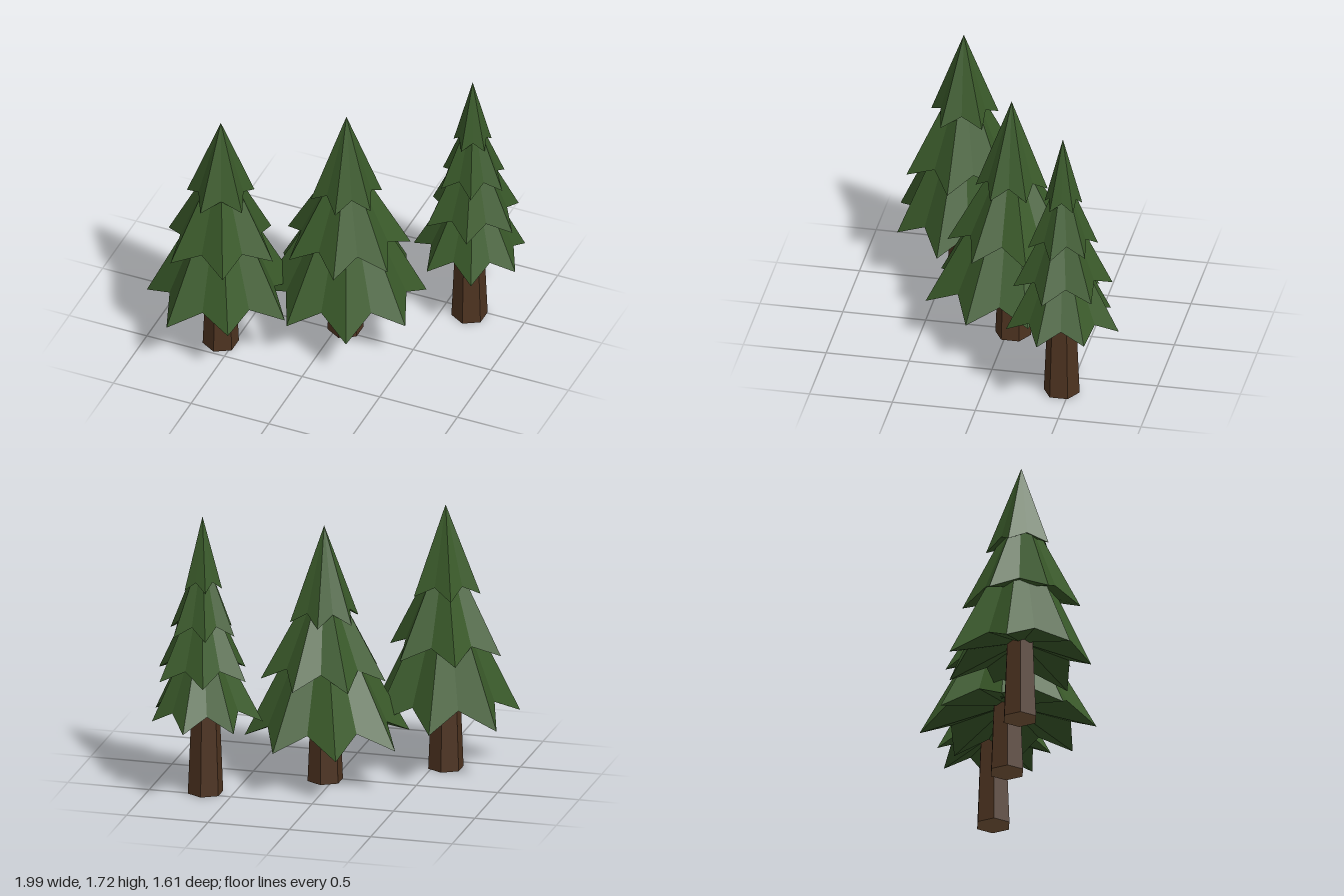
import * as THREE from 'three';

// One foliage tier: a star-shaped cone with drooping tips, raised valleys and a hollow underside
function tierGeometry({ reach, turn, tip, tipY, valley, valleyY, apexY }) {
  const n = reach.length;
  const rim = [];
  for (let i = 0; i < n * 2; i++) {
    const a = THREE.MathUtils.degToRad(turn) + (i * Math.PI) / n;
    const isTip = i % 2 === 0;
    const k = isTip ? reach[i / 2] : 1;
    const r = (isTip ? tip : valley) * k;
    const y = isTip ? tipY - (k - 1) * 0.15 : valleyY;
    rim.push([Math.cos(a) * r, y, Math.sin(a) * r]);
  }
  const apex = [0, apexY, 0];
  const under = [0, valleyY + 0.05, 0];
  const pos = [];
  rim.forEach((p, i) => {
    const q = rim[(i + 1) % rim.length];
    pos.push(...apex, ...q, ...p);
    pos.push(...under, ...p, ...q);
  });
  const g = new THREE.BufferGeometry();
  g.setAttribute('position', new THREE.Float32BufferAttribute(pos, 3));
  g.computeVertexNormals();
  return g;
}

// Equal tip lengths for the upper tiers
const even = (n) => Array(n).fill(1);

// Tree position, trunk [x, z, height], and tiers from the bottom up with fewer points each
const TREES = [
  {
    name: 'leftFrontTree', x: -0.573, z: 0.385, trunk: [-0.004, -0.008, 0.75],
    tiers: [
      { reach: [1, 0.92, 1, 0.98, 1.06, 1.04, 1.05], turn: 9.5,
        tip: 0.45, tipY: 0.35, valley: 0.32, valleyY: 0.45, apexY: 1.27 },
      { reach: even(6), turn: 5, tip: 0.35, tipY: 0.73, valley: 0.24, valleyY: 0.81, apexY: 1.42 },
      { reach: even(5), turn: 30, tip: 0.21, tipY: 1.09, valley: 0.14, valleyY: 1.155, apexY: 1.635 },
    ],
  },
  {
    name: 'middleTree', x: 0.057, z: -0.03, trunk: [-0.009, -0.008, 0.7],
    tiers: [
      { reach: [0.97, 1.02, 0.98, 1, 1.04, 1.04, 0.98, 0.93], turn: 22,
        tip: 0.51, tipY: 0.285, valley: 0.385, valleyY: 0.39, apexY: 1.22 },
      { reach: even(7), turn: 27, tip: 0.38, tipY: 0.645, valley: 0.27, valleyY: 0.735, apexY: 1.33 },
      { reach: even(6), turn: 25, tip: 0.215, tipY: 1.0, valley: 0.155, valleyY: 1.07, apexY: 1.58 },
    ],
  },
  {
    name: 'rightBackTree', x: 0.683, z: -0.465, trunk: [-0.016, 0.01, 0.8],
    tiers: [
      { reach: [0.97, 1.01, 1, 1.06, 1.03, 1.01, 0.93], turn: 17,
        tip: 0.34, tipY: 0.465, valley: 0.25, valleyY: 0.55, apexY: 1.14 },
      { reach: even(6), turn: 14, tip: 0.295, tipY: 0.735, valley: 0.205, valleyY: 0.81, apexY: 1.35 },
      { reach: even(6), turn: 10, tip: 0.21, tipY: 1.0, valley: 0.145, valleyY: 1.07, apexY: 1.52 },
      { reach: even(5), turn: 30, tip: 0.118, tipY: 1.275, valley: 0.085, valleyY: 1.33, apexY: 1.72 },
    ],
  },
];

function material(name, color) {
  const m = new THREE.MeshStandardMaterial({ color, flatShading: true });
  m.name = name;
  return m;
}

export function createModel() {
  const needles = material('needleGreen', 0x3a5a2a);
  const bark = material('barkBrown', 0x4d3320);
  const cutWood = material('cutWoodBrown', 0x7e5d3e);

  const model = new THREE.Group();
  model.name = 'pineTrees';

  for (const t of TREES) {
    const tree = new THREE.Group();
    tree.name = t.name;
    tree.position.set(t.x, 0, t.z);

    // Tapered six-sided trunk with a paler cut base (groups: side, top, bottom)
    const [tx, tz, h] = t.trunk;
    const trunk = new THREE.Mesh(
      new THREE.CylinderGeometry(0.108 - 0.042 * h, 0.108, h, 6), [bark, bark, cutWood]);
    trunk.name = 'trunk';
    trunk.position.set(tx, h / 2, tz);
    tree.add(trunk);

    // Stacked foliage
    t.tiers.forEach((tier, i) => {
      const mesh = new THREE.Mesh(tierGeometry(tier), needles);
      mesh.name = `foliageTier${i + 1}`;
      tree.add(mesh);
    });
    model.add(tree);
  }
  return model;
}
